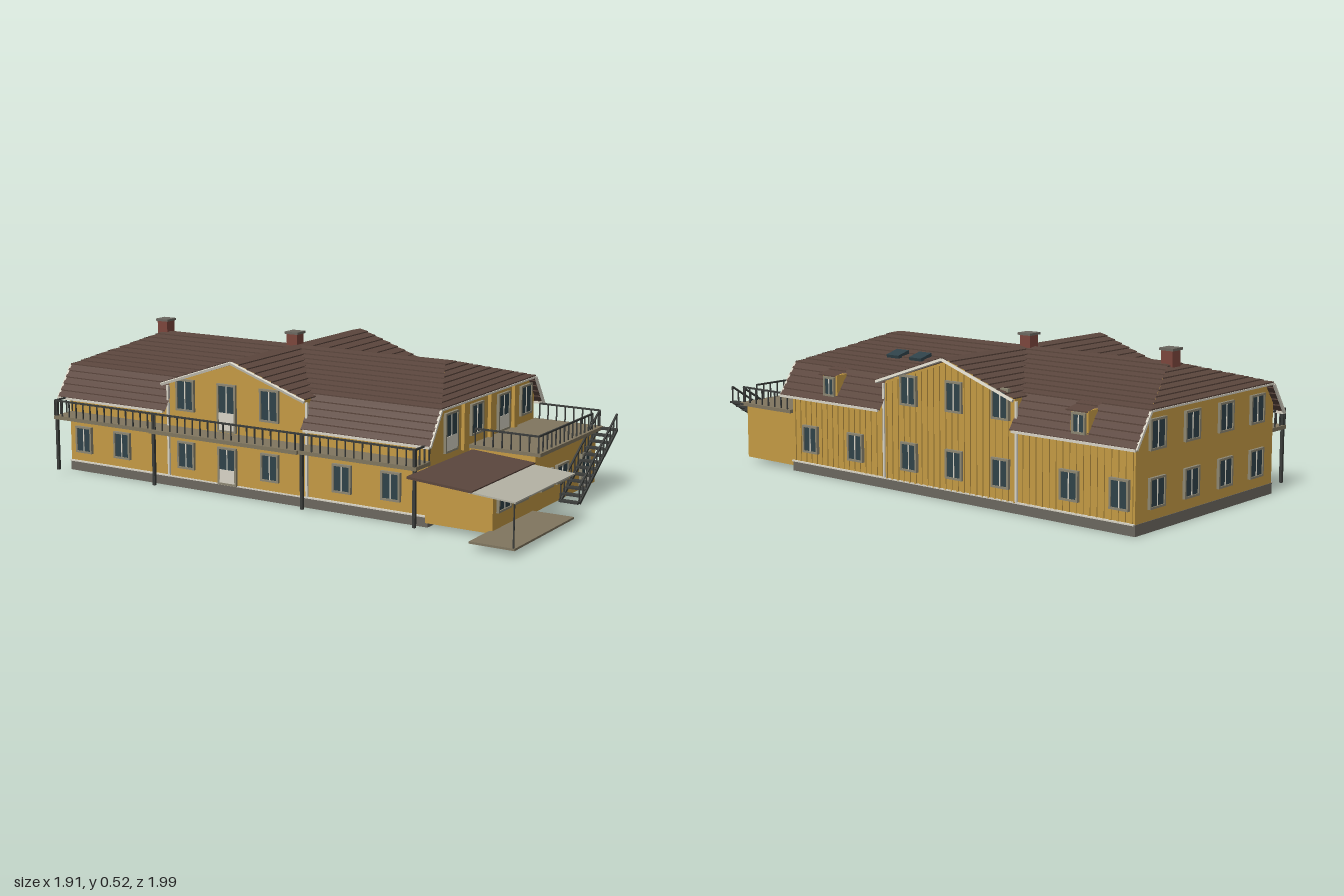
import * as THREE from 'three';

const COL = {
  wall: 0xc49a44, roof: 0x5b463d, base: 0x6b675f, trim: 0xd8d4c6, frame: 0x8c8672,
  glass: 0x2f4249, deck: 0x80765f, metal: 0x3a3c3a, brick: 0x7c463c, canopy: 0xb4b2a4,
};
const mats = {};
const mat = (c) => (mats[c] ??= new THREE.MeshStandardMaterial({ color: COL[c], side: THREE.DoubleSide, flatShading: true }));

// Local frame: x along the ridge, z towards the balcony side
const L = 0.74, W = 0.385;
const V = (x, y, z) => new THREE.Vector3(x, y, z);

function add(parent, name, geo, c) {
  const m = new THREE.Mesh(geo, mat(c));
  m.name = name;
  parent.add(m);
  return m;
}

// Box given by its minimum and maximum corners
function box(parent, name, c, x0, x1, y0, y1, z0, z1) {
  const m = add(parent, name, new THREE.BoxGeometry(x1 - x0, y1 - y0, z1 - z0), c);
  m.position.set((x0 + x1) / 2, (y0 + y1) / 2, (z0 + z1) / 2);
  return m;
}

// Thin square bar between two points
function bar(parent, name, c, a, b, t = 0.006) {
  const m = add(parent, name, new THREE.BoxGeometry(t, t, a.distanceTo(b)), c);
  m.position.copy(a).lerp(b, 0.5);
  m.quaternion.setFromUnitVectors(V(0, 0, 1), b.clone().sub(a).normalize());
  return m;
}

// Roof plane laid in slightly lifted tile courses from top edge to bottom edge
function slope(parent, name, tl, tr, bl, br, n) {
  const pos = [];
  const quad = (a, b, c, d) => [a, b, c, b, d, c].forEach((p) => pos.push(p.x, p.y, p.z));
  for (let i = 0; i < n; i++) {
    const a = tl.clone().lerp(bl, i / n), b = tr.clone().lerp(br, i / n);
    const c = tl.clone().lerp(bl, (i + 1) / n), d = tr.clone().lerp(br, (i + 1) / n);
    const cUp = c.clone(), dUp = d.clone();
    cUp.y += 0.004; dUp.y += 0.004;
    quad(a, b, cUp, dUp);
    quad(cUp, dUp, c, d);
  }
  const g = new THREE.BufferGeometry();
  g.setAttribute('position', new THREE.Float32BufferAttribute(pos, 3));
  g.computeVertexNormals();
  add(parent, name, g, 'roof');
}

// Extruded outline, centred on its depth
function prism(points, depth) {
  const s = new THREE.Shape(points.map(([x, y]) => new THREE.Vector2(x, y)));
  return new THREE.ExtrudeGeometry(s, { depth, bevelEnabled: false }).translate(0, 0, -depth / 2);
}

// Framed window, or a door with a solid lower panel; side: 'front', 'back', 'left' or 'right'
const TURN = { front: 0, back: Math.PI, left: Math.PI / 2, right: -Math.PI / 2 };
function opening(parent, side, along, y0, y1, w, dist, door = false) {
  const g = new THREE.Group();
  g.name = door ? 'door' : 'window';
  const t = 0.007, h = w / 2;
  box(g, 'glass', 'glass', -h, h, y0, y1, -0.004, 0.004);
  for (const s of [-1, 1]) box(g, 'sideFrame', 'frame', s * h - t / 2, s * h + t / 2, y0, y1, -0.004, 0.008);
  for (const y of [y0, y1]) box(g, 'crossFrame', 'frame', -h - t / 2, h + t / 2, y - t / 2, y + t / 2, -0.004, 0.008);
  box(g, 'mullion', 'trim', -0.002, 0.002, y0, y1, -0.004, 0.006);
  if (door) box(g, 'doorPanel', 'trim', -h, h, y0, y0 + (y1 - y0) * 0.4, 0, 0.006);
  g.rotation.y = TURN[side];
  if (side === 'front' || side === 'back') g.position.set(along, 0, side === 'front' ? dist : -dist);
  else g.position.set(side === 'left' ? dist : -dist, 0, along);
  parent.add(g);
}

// Railing with balusters between two points at floor level
function railing(parent, a, b, h = 0.055) {
  const g = new THREE.Group();
  g.name = 'railing';
  const up = V(0, h, 0), n = Math.max(2, Math.round(a.distanceTo(b) / 0.032));
  bar(g, 'handrail', 'metal', a.clone().add(up), b.clone().add(up), 0.006);
  for (let i = 0; i <= n; i++) {
    const p = a.clone().lerp(b, i / n);
    bar(g, 'baluster', 'metal', p, p.clone().add(up), 0.004);
  }
  parent.add(g);
}

export function createModel() {
  const model = new THREE.Group();
  model.name = 'house';
  const house = new THREE.Group();
  house.name = 'houseBody';
  house.rotation.y = -0.748;
  house.position.set(-0.095, 0, -0.17);
  model.add(house);

  // Foundation, main walls and cross-gable walls
  box(house, 'foundation', 'base', -L - 0.002, L + 0.002, 0, 0.036, -W - 0.002, W + 0.002);
  add(house, 'mainWalls', prism([[-W, 0.036], [W, 0.036], [W, 0.305], [0.336, 0.37], [-0.336, 0.37], [-W, 0.305]], 2 * L).rotateY(Math.PI / 2), 'wall');
  add(house, 'crossGableWalls', prism([[-0.28, 0.036], [0.28, 0.036], [0.28, 0.368], [0, 0.462], [-0.28, 0.368]], 2 * W + 0.012), 'wall');

  // Main roof: ridge, upper slopes, steep lower slopes and half hips
  const R = 0.59, E = 0.765, B = 0.345;
  for (const s of [-1, 1]) {
    slope(house, 'upperRoof', V(-R, 0.472, 0), V(R, 0.472, 0), V(-E, 0.38, s * B), V(E, 0.38, s * B), 10);
    slope(house, 'hipRoof', V(s * R, 0.472, 0), V(s * R, 0.472, 0), V(s * E, 0.38, -B), V(s * E, 0.38, B), 8);
    slope(house, 'gableRoof', V(0, 0.474, -0.42), V(0, 0.474, 0.42), V(s * 0.295, 0.372, -0.42), V(s * 0.295, 0.372, 0.42), 9);
    bar(house, 'hipEave', 'trim', V(s * E, 0.377, -B), V(s * E, 0.377, B), 0.006);
    for (const e of [-1, 1]) {
      slope(house, 'lowerRoof', V(e * 0.28, 0.38, s * B), V(e * E, 0.38, s * B), V(e * 0.28, 0.272, s * 0.42), V(e * E, 0.272, s * 0.42), 5);
      bar(house, 'endBargeboard', 'trim', V(e * E, 0.27, s * 0.417), V(e * E, 0.376, s * B), 0.008);
      bar(house, 'gableBargeboard', 'trim', V(0, 0.468, s * 0.42), V(e * 0.295, 0.367, s * 0.42), 0.009);
      bar(house, 'gutter', 'trim', V(e * 0.29, 0.27, s * 0.42), V(e * E, 0.27, s * 0.42), 0.008);
      bar(house, 'downpipe', 'trim', V(e * 0.287, 0.04, s * 0.393), V(e * 0.287, 0.36, s * 0.393), 0.008);
    }
  }

  // Chimneys
  for (const x of [-0.598, -0.02]) {
    box(house, 'chimney', 'brick', x - 0.022, x + 0.022, 0.43, 0.51, -0.027, 0.017);
    box(house, 'chimneyCap', 'base', x - 0.027, x + 0.027, 0.51, 0.518, -0.032, 0.022);
  }

  // Skylights in the rear roof slope
  for (const x of [0.301, 0.407]) {
    const m = box(house, 'skylight', 'glass', x - 0.028, x + 0.028, 0.418, 0.432, -0.225, -0.17);
    m.rotation.x = -0.261;
  }

  // Small rear dormers
  for (const x of [-0.545, 0.53]) {
    box(house, 'dormer', 'wall', x - 0.034, x + 0.034, 0.285, 0.366, -0.405, -0.33);
    slope(house, 'dormerRoof', V(x - 0.042, 0.388, -0.32), V(x + 0.042, 0.388, -0.32), V(x - 0.042, 0.362, -0.42), V(x + 0.042, 0.362, -0.42), 2);
    opening(house, 'back', x, 0.295, 0.355, 0.045, 0.406);
  }

  // Vertical cladding battens on the rear wall and sill boards
  for (let x = -0.73; x <= 0.735; x += 0.0265) {
    const inGable = Math.abs(x) < 0.28;
    const top = inGable ? 0.455 - Math.abs(x) * 0.336 : 0.29;
    const z = inGable ? -W - 0.006 : -W;
    box(house, 'batten', 'wall', x - 0.003, x + 0.003, 0.037, top, z - 0.004, z);
  }
  for (const s of [-1, 1]) box(house, 'sillBoard', 'trim', -L, L, 0.034, 0.039, s * 0.39 - 0.004, s * 0.39 + 0.004);

  // Windows along both long sides
  for (const x of [-0.67, -0.495, -0.21, 0.14, 0.425, 0.61]) opening(house, 'front', x, 0.075, 0.165, 0.065, W + 0.008);
  opening(house, 'front', -0.035, 0.04, 0.165, 0.07, W + 0.008, true);
  for (const x of [-0.21, 0.14]) opening(house, 'front', x, 0.28, 0.385, 0.07, W + 0.008);
  opening(house, 'front', -0.035, 0.225, 0.385, 0.07, W + 0.008, true);
  for (const x of [-0.69, -0.5, -0.225, -0.03, 0.17, 0.42, 0.64]) opening(house, 'back', x, 0.08, 0.17, 0.065, W + 0.01);
  for (const x of [-0.225, -0.03, 0.17]) opening(house, 'back', x, 0.3, 0.395, 0.065, W + 0.01);

  // Windows in both end walls
  for (const z of [-0.28, -0.095, 0.095, 0.28]) {
    opening(house, 'right', z, 0.075, 0.165, 0.075, L + 0.002);
    opening(house, 'right', z, 0.255, 0.345, 0.075, L + 0.002);
  }
  for (const z of [-0.31, 0.06]) opening(house, 'left', z, 0.25, 0.35, 0.08, L + 0.002);
  for (const z of [-0.137, 0.24]) opening(house, 'left', z, 0.225, 0.35, 0.08, L + 0.002, true);
  for (const z of [-0.22, -0.04, 0.15]) box(house, 'wallPilaster', 'wall', L, L + 0.012, 0.21, 0.37, z - 0.012, z + 0.012);

  // Balcony along the front, deeper in the middle, on posts
  const F = 0.48;
  box(house, 'balconyDeck', 'deck', -0.735, 0.75, 0.205, 0.218, W, F);
  box(house, 'balconyMiddle', 'deck', -0.3, 0.31, 0.205, 0.218, F, F + 0.01);
  railing(house, V(-0.73, 0.218, F - 0.003), V(0.745, 0.218, F - 0.003));
  for (const x of [-0.73, 0.745]) railing(house, V(x, 0.218, W), V(x, 0.218, F));
  for (const x of [-0.725, -0.29, 0.32, 0.742]) bar(house, 'balconyPost', 'metal', V(x, 0.02, F - 0.006), V(x, 0.27, F - 0.006), 0.01);

  // Ground-floor extension with roof terrace
  const X = 0.98;
  box(house, 'extensionWalls', 'wall', L, X, 0.018, 0.208, -W, 0.1);
  box(house, 'porchWalls', 'wall', L, X, 0.018, 0.178, 0.1, 0.4);
  box(house, 'terraceDeck', 'deck', L, X + 0.02, 0.206, 0.218, -W - 0.015, 0.105);
  railing(house, V(X + 0.01, 0.218, -0.33), V(X + 0.01, 0.218, 0.1));
  railing(house, V(L + 0.02, 0.218, -W - 0.008), V(X + 0.01, 0.218, -W - 0.008));
  railing(house, V(L + 0.02, 0.218, 0.1), V(X + 0.01, 0.218, 0.1));
  for (const z of [-0.1, 0.02, 0.21, 0.33]) opening(house, 'left', z, 0.083, 0.142, 0.085, X + 0.002);
  opening(house, 'left', -0.29, 0.025, 0.142, 0.07, X + 0.002, true);

  // Porch roof, light canopy and paved floor
  const porchRoof = box(house, 'porchRoof', 'roof', 0.75, 0.98, 0.186, 0.194, 0.1, 0.54);
  porchRoof.rotation.z = -0.07;
  const canopy = box(house, 'canopy', 'canopy', 0.965, 1.125, 0.172, 0.177, 0.11, 0.54);
  canopy.rotation.z = -0.07;
  box(house, 'porchFloor', 'deck', 0.97, 1.125, 0.02, 0.027, 0.11, 0.54);
  bar(house, 'canopyPost', 'metal', V(1.12, 0.02, 0.537), V(1.12, 0.17, 0.537), 0.004);

  // Outside stairs with stringers and railings
  const steps = 12, top = V(0, 0.212, -0.39), foot = V(0, 0.018, -0.09);
  for (let i = 0; i < steps; i++) {
    const p = top.clone().lerp(foot, i / (steps - 1));
    box(house, 'stairTread', 'metal', X + 0.005, X + 0.075, p.y - 0.003, p.y + 0.003, p.z - 0.013, p.z + 0.013);
  }
  for (const x of [X + 0.006, X + 0.074]) {
    const a = top.clone().setX(x), b = foot.clone().setX(x);
    bar(house, 'stairStringer', 'metal', a, b, 0.01);
    railing(house, a, b);
  }
  return model;
}
